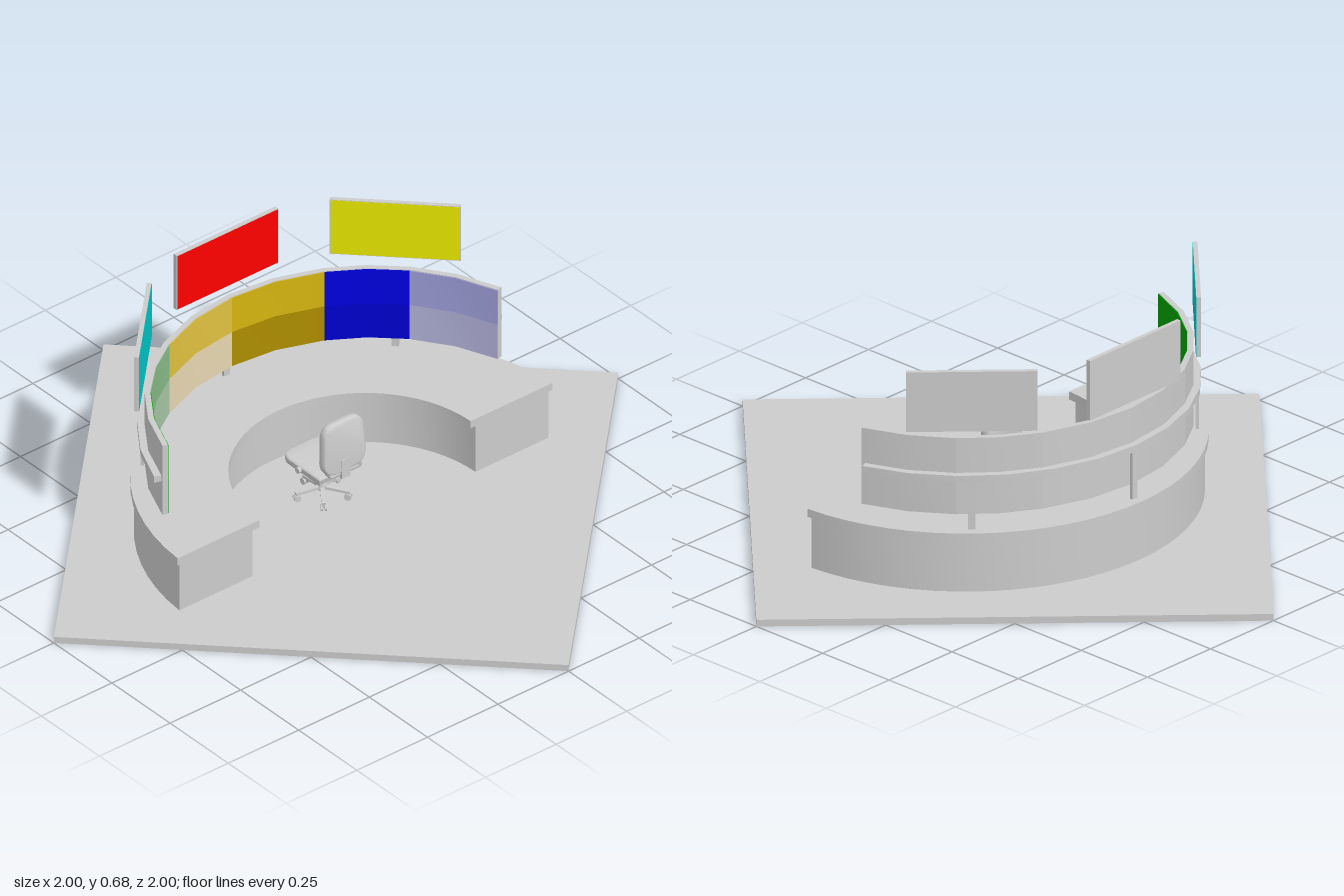
import * as THREE from 'three';
import { toCreasedNormals } from 'three/addons/utils/BufferGeometryUtils.js';
import { RoundedBoxGeometry } from 'three/addons/geometries/RoundedBoxGeometry.js';

const CZ = 0.16; // z of the common centre of the curved parts
const grey = new THREE.MeshStandardMaterial({ color: 0xcccccc });
const rad = THREE.MathUtils.degToRad;

function add(parent, name, geo, x = 0, y = 0, z = 0, mat = grey) {
  const m = new THREE.Mesh(geo, mat);
  m.name = name;
  m.position.set(x, y, z);
  parent.add(m);
  return m;
}
const paint = (color) => new THREE.MeshStandardMaterial({ color });

// Extrudes a plan shape (shape y = -z) from y0 up to y1
function slab(shape, y0, y1, curveSegments) {
  const g = new THREE.ExtrudeGeometry(shape, { depth: y1 - y0, bevelEnabled: false, curveSegments });
  g.rotateX(-Math.PI / 2).translate(0, y0, 0);
  return toCreasedNormals(g, 0.35);
}

// Annular sector; angles in degrees measured from -z towards +x
function sector(r0, r1, a0, a1, y0, y1, segs) {
  const s = new THREE.Shape();
  const p = rad(90 - a1), q = rad(90 - a0);
  s.absarc(0, -CZ, r1, p, q, false);
  s.absarc(0, -CZ, r0, q, p, true);
  return slab(s, y0, y1, segs);
}

// Horseshoe desk outline, cut straight at z = front
function deskShape(outer, inner, front) {
  const s = new THREE.Shape();
  const a = Math.asin((CZ - front) / outer);
  s.absarc(0, -CZ, outer, a, Math.PI - a, false);
  s.absarc(0, -front, inner, Math.PI, 0, true);
  return s;
}

function makeChair() {
  const chair = new THREE.Group();
  chair.name = 'chair';
  // five-star base with casters
  for (let i = 0; i < 5; i++) {
    const leg = new THREE.Group();
    leg.name = 'chairLeg';
    leg.rotation.y = (i / 5) * Math.PI * 2 + Math.PI / 2;
    const arm = add(leg, 'legArm', new THREE.BoxGeometry(0.078, 0.008, 0.012), 0.039, 0.047, 0);
    arm.rotation.z = -0.08;
    for (const s of [-1, 1]) {
      const w = add(leg, 'caster', new THREE.CylinderGeometry(0.01, 0.01, 0.006, 14), 0.074, 0.03, s * 0.006);
      w.rotation.x = Math.PI / 2;
    }
    add(leg, 'casterStem', new THREE.CylinderGeometry(0.003, 0.003, 0.016, 8), 0.074, 0.038, 0);
    chair.add(leg);
  }
  add(chair, 'hub', new THREE.CylinderGeometry(0.011, 0.013, 0.018, 16), 0, 0.05, 0);
  add(chair, 'gasColumn', new THREE.CylinderGeometry(0.006, 0.006, 0.07, 14), 0, 0.09, 0);
  add(chair, 'seatMechanism', new THREE.BoxGeometry(0.06, 0.012, 0.07), 0, 0.118, 0);
  // seat, with rounded front corners
  const w = 0.07, d = 0.16, r = 0.035;
  const s = new THREE.Shape();
  s.moveTo(-w, -d / 2).lineTo(w, -d / 2).lineTo(w, d / 2 - r);
  s.quadraticCurveTo(w, d / 2, w - r, d / 2).lineTo(-w + r, d / 2);
  s.quadraticCurveTo(-w, d / 2, -w, d / 2 - r);
  const seat = new THREE.ExtrudeGeometry(s, {
    depth: 0.01, bevelSize: 0.005, bevelThickness: 0.006, bevelSegments: 3, curveSegments: 8 });
  seat.rotateX(-Math.PI / 2);
  add(chair, 'seat', toCreasedNormals(seat, 0.8), 0, 0.13, -0.005);
  for (const k of [-1, 1]) {
    const knob = add(chair, 'adjusterKnob', new THREE.CylinderGeometry(0.009, 0.009, 0.01, 14), k * 0.079, 0.135, -0.005);
    knob.rotation.z = Math.PI / 2;
  }
  // backrest, rounded and bowed slightly outwards
  const b = new THREE.Shape();
  const bw = 0.07, bh = 0.075, br = 0.04;
  b.moveTo(-bw + br, -bh).lineTo(bw - br, -bh).quadraticCurveTo(bw, -bh, bw, -bh + br);
  b.lineTo(bw - 0.005, bh - br).quadraticCurveTo(bw - 0.005, bh, bw - br, bh);
  b.lineTo(-bw + br, bh).quadraticCurveTo(-bw + 0.005, bh, -bw + 0.005, bh - br);
  b.lineTo(-bw, -bh + br).quadraticCurveTo(-bw, -bh, -bw + br, -bh);
  const back = new THREE.ExtrudeGeometry(b, {
    depth: 0.012, bevelSize: 0.005, bevelThickness: 0.007, bevelSegments: 4, curveSegments: 8 });
  const rest = add(chair, 'backrest', toCreasedNormals(back, 0.8), 0, 0.235, 0.08);
  rest.rotation.x = -0.06;
  add(chair, 'backSupport', new RoundedBoxGeometry(0.1, 0.012, 0.03, 2, 0.005), 0, 0.15, 0.084);
  add(chair, 'backBar', new THREE.BoxGeometry(0.03, 0.06, 0.008), 0, 0.165, 0.1);
  chair.position.set(0, 0, -0.06);
  return chair;
}

export function createModel() {
  const model = new THREE.Group();
  model.name = 'controlDesk';

  // diamond floor
  const floor = add(model, 'floor', new THREE.BoxGeometry(Math.SQRT2, 0.02, Math.SQRT2), 0, 0.01, 0);
  floor.rotation.y = Math.PI / 4;

  // horseshoe desk
  add(model, 'deskBody', slab(deskShape(0.655, 0.395, 0.12), 0.005, 0.176, 16));
  add(model, 'deskTop', slab(deskShape(0.665, 0.374, 0.125), 0.176, 0.2, 16));

  // curved screen wall: six bands, each with an upper and a lower picture
  const edges = [-73.5, -48.9, -26.8, 0, 26.8, 48.9, 73.5];
  const upper = [0x00a000, 0x88bb88, 0xe0c040, 0xd4b410, 0x0000e0, 0xa0a0dc];
  const lower = [0x007c00, 0xa8c8a8, 0xe6d6b0, 0xac8c00, 0x0000d0, 0xb4b4dc];
  const wall = new THREE.Group();
  wall.name = 'screenWall';
  for (let i = 0; i < 6; i++) {
    const a = edges[i], b = edges[i + 1];
    add(wall, 'wallPanel', sector(0.61, 0.626, a, b, 0.24, 0.47, 1));
    add(wall, 'upperPicture', sector(0.608, 0.61, a, b, 0.355, 0.468, 1), 0, 0, 0, paint(upper[i]));
    add(wall, 'lowerPicture', sector(0.608, 0.61, a, b, 0.242, 0.355, 1), 0, 0, 0, paint(lower[i]));
  }
  add(wall, 'supportRail', sector(0.622, 0.646, -72.5, 72.5, 0.345, 0.365, 6));
  model.add(wall);

  // posts and hanging monitors, repeated around the arc
  const colors = [0x00c8c8, 0xff0000, 0xe8e800];
  [-45, 0, 45].forEach((deg, i) => {
    const station = new THREE.Group();
    station.name = 'station';
    station.position.z = CZ;
    station.rotation.y = -rad(deg);
    add(station, 'post', new THREE.BoxGeometry(0.02, 0.15, 0.01), 0, 0.272, -0.634);
    add(station, 'monitor', new THREE.BoxGeometry(0.36, 0.18, 0.013), 0, 0.587, -0.633);
    add(station, 'monitorPicture', new THREE.BoxGeometry(0.356, 0.176, 0.002), 0, 0.587, -0.6265, paint(colors[i]));
    model.add(station);
  });

  model.add(makeChair());
  return model;
}
